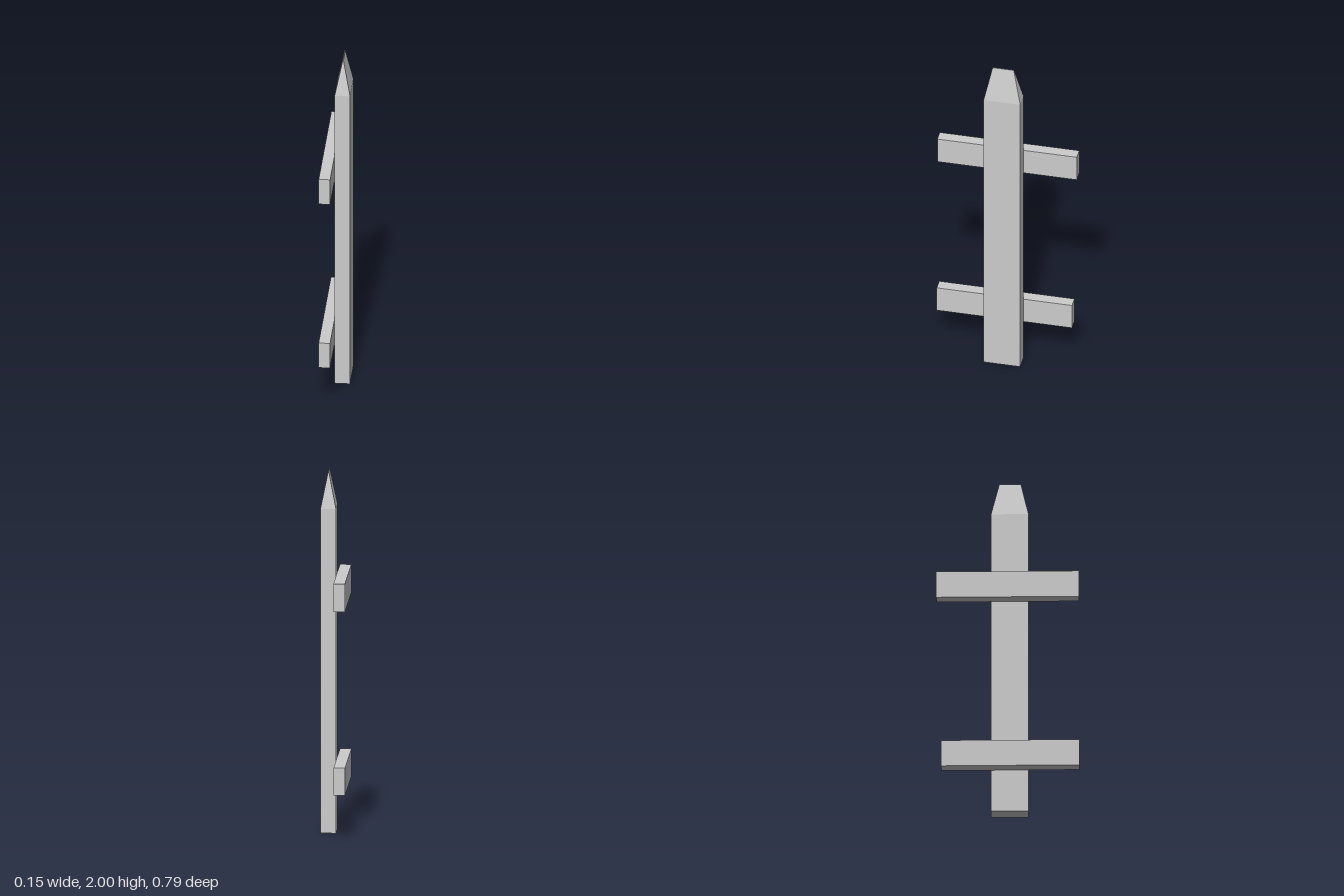
import * as THREE from 'three';

const material = new THREE.MeshStandardMaterial({ color: 0xcccccc, flatShading: true });

// Box given by its lower and upper corners, with optional height segments
function boxBetween(min, max, rows = 1) {
  const size = max.map((v, i) => v - min[i]);
  const geometry = new THREE.BoxGeometry(...size, 1, rows, 1);
  geometry.translate(...max.map((v, i) => (v + min[i]) / 2));
  return geometry;
}

// Upright picket: a plank whose top row narrows to a ridge running along z
function picketGeometry() {
  const shoulder = 1.8, top = 2;
  const x = [-0.012, 0.073], z = [-0.094, 0.112];
  const ridgeX = [0.029, 0.033], ridgeZ = [-0.049, 0.07];
  const geometry = boxBetween([x[0], 0, z[0]], [x[1], top, z[1]], 2);
  const p = geometry.attributes.position;
  const midX = (x[0] + x[1]) / 2, midZ = (z[0] + z[1]) / 2;
  for (let i = 0; i < p.count; i++) {
    if (p.getY(i) > top - 0.01) {
      p.setX(i, ridgeX[p.getX(i) > midX ? 1 : 0]);
      p.setZ(i, ridgeZ[p.getZ(i) > midZ ? 1 : 0]);
    } else if (p.getY(i) > 0.01) {
      p.setY(i, shoulder);
    }
  }
  const flat = geometry.toNonIndexed();
  flat.computeVertexNormals();
  return flat;
}

export function createModel() {
  const group = new THREE.Group();
  group.name = 'fencePicket';

  const add = (name, geometry) => {
    const mesh = new THREE.Mesh(geometry, material);
    mesh.name = name;
    group.add(mesh);
  };

  add('picket', picketGeometry());

  // Two cross rails fixed to the picket's -x face
  add('upperRail', boxBetween([-0.075, 1.27, -0.394], [-0.012, 1.425, 0.391]));
  add('lowerRail', boxBetween([-0.075, 0.248, -0.367], [-0.012, 0.402, 0.394]));

  return group;
}
